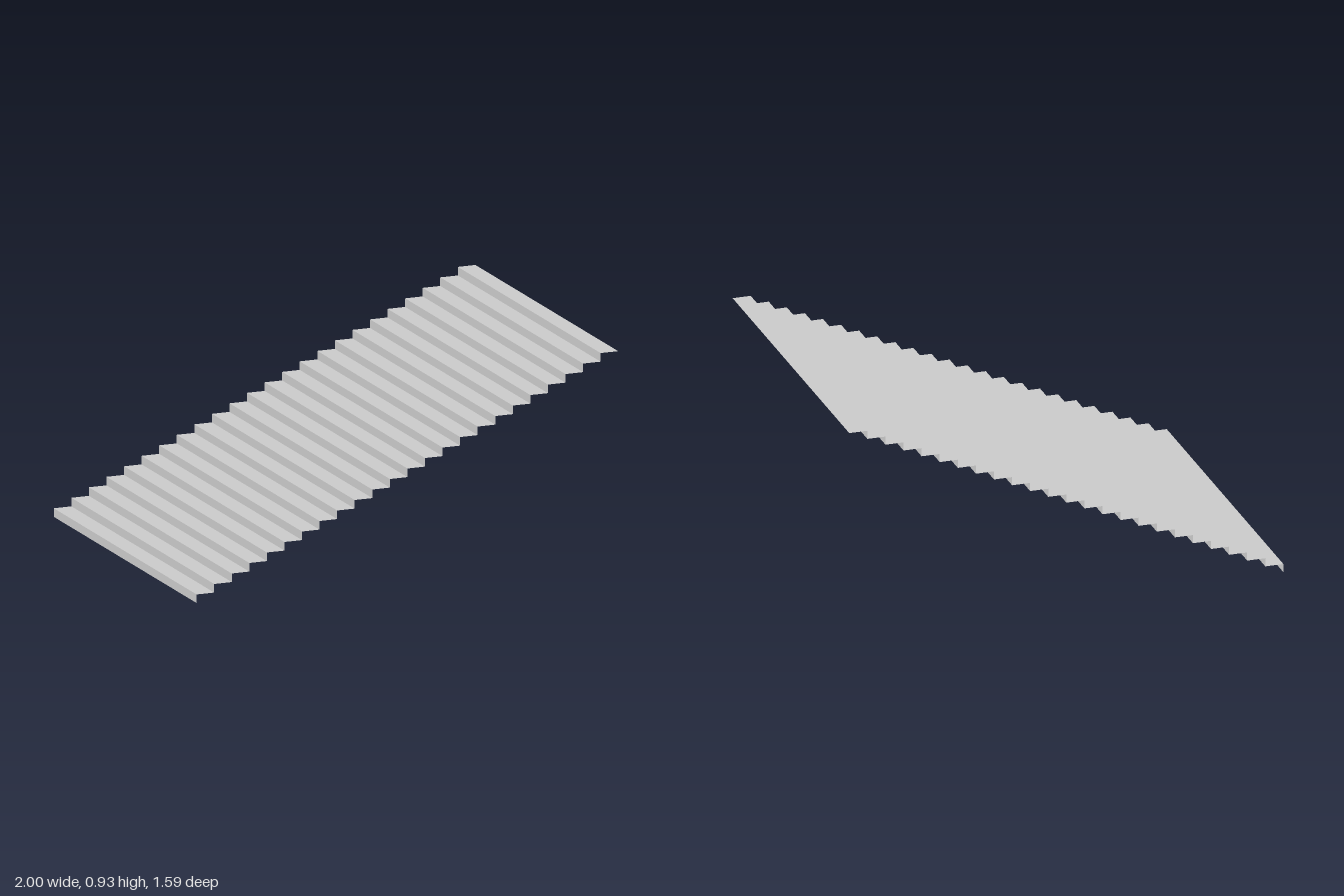
import * as THREE from 'three';

const STEPS = 24;
const RUN = 2 / STEPS;
const RISE = 0.93 / STEPS;
const WIDTH = 1.594;

export function createModel() {
  const stairs = new THREE.Group();
  stairs.name = 'stairs';

  // Thin sheet surfaces, visible from above and below
  const material = new THREE.MeshStandardMaterial({
    color: 0xcccccc,
    flatShading: true,
    side: THREE.DoubleSide,
  });

  // Tread faces up, riser faces the low end (-x)
  const treadGeometry = new THREE.PlaneGeometry(RUN, WIDTH).rotateX(-Math.PI / 2);
  const riserGeometry = new THREE.PlaneGeometry(WIDTH, RISE).rotateY(-Math.PI / 2);

  // Flight climbing towards +x: each step is a riser followed by a tread
  for (let i = 0; i < STEPS; i++) {
    const step = new THREE.Group();
    step.name = `step${i + 1}`;
    step.position.set(-1 + i * RUN, i * RISE, 0);

    const riser = new THREE.Mesh(riserGeometry, material);
    riser.name = 'riser';
    riser.position.y = RISE / 2;

    const tread = new THREE.Mesh(treadGeometry, material);
    tread.name = 'tread';
    tread.position.set(RUN / 2, RISE, 0);

    step.add(riser, tread);
    stairs.add(step);
  }
  return stairs;
}
